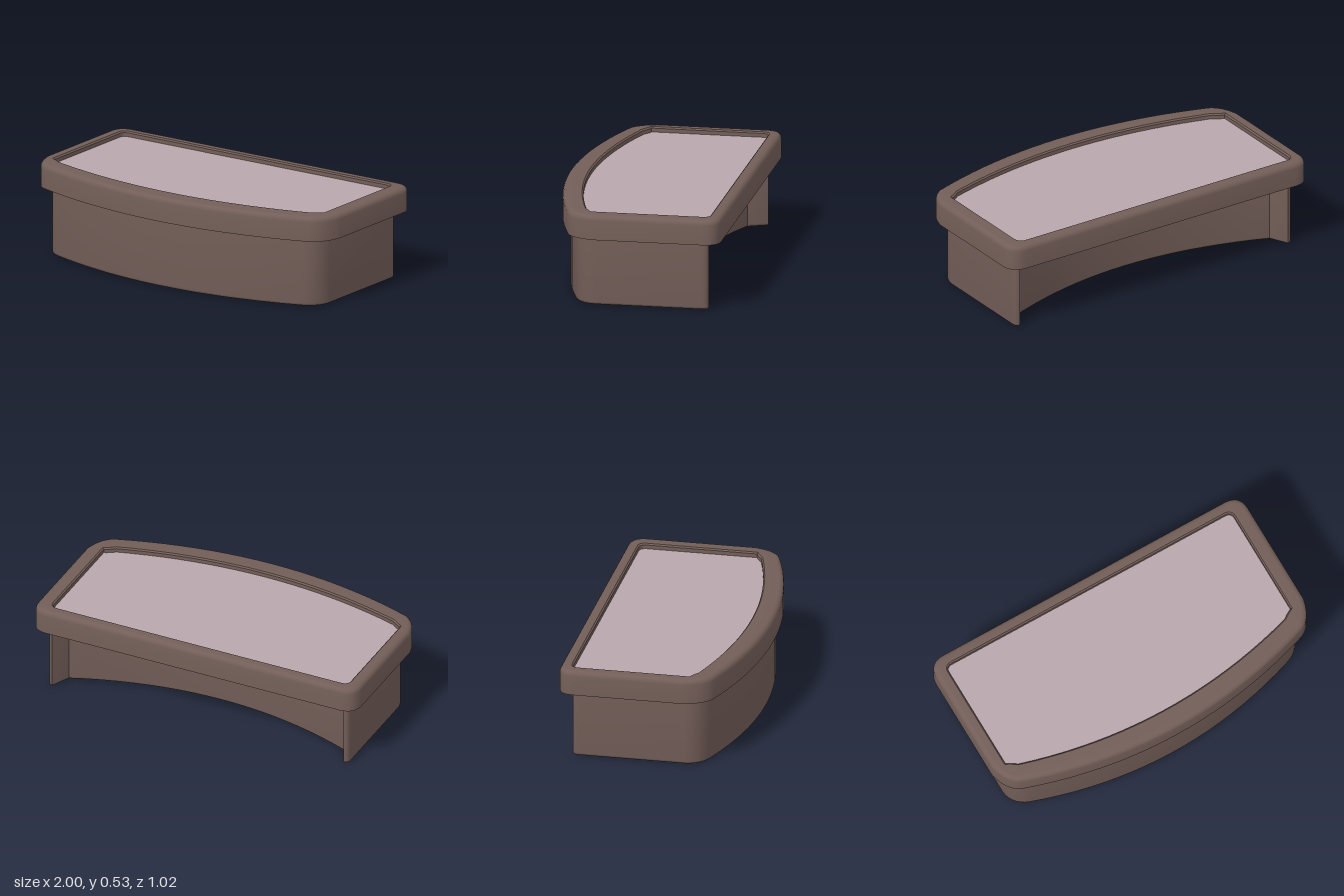
import * as THREE from 'three';
import { toCreasedNormals } from 'three/addons/utils/BufferGeometryUtils.js';

// Plan outlines use (x, -z), counter-clockwise from above.
// Straight back, rounded corners and a bowed front.
function counterOutline(left, right, back, side, corner, mid, rx, rb) {
  const cx = (left + right) / 2;
  const s = new THREE.Shape();
  const f = 2 * mid - corner; // control height that makes the bow reach mid
  s.moveTo(left + rx, -corner);
  s.quadraticCurveTo(cx, -f, right - rx, -corner);
  s.quadraticCurveTo(right - rx * 0.25, -(corner - 0.035), right, -side);
  s.lineTo(right, -back - rb);
  s.quadraticCurveTo(right, -back, right - rb, -back);
  s.lineTo(left + rb, -back);
  s.quadraticCurveTo(left, -back, left, -back - rb);
  s.lineTo(left, -side);
  s.quadraticCurveTo(left + rx * 0.25, -(corner - 0.035), left + rx, -corner);
  return clean(s.getPoints(20));
}

// Bowed front with a concave back between two short end fins.
function bodyOutline() {
  const s = new THREE.Shape();
  s.moveTo(-0.83, -0.325);
  s.quadraticCurveTo(0, -0.615, 0.83, -0.325);
  s.quadraticCurveTo(0.92, -0.29, 0.93, -0.2);
  s.lineTo(0.93, 0.4);
  s.quadraticCurveTo(0.93, 0.44, 0.9, 0.44);
  s.lineTo(0.85, 0.33);
  s.quadraticCurveTo(0, -0.01, -0.85, 0.33);
  s.lineTo(-0.9, 0.44);
  s.quadraticCurveTo(-0.93, 0.44, -0.93, 0.4);
  s.lineTo(-0.93, -0.2);
  s.quadraticCurveTo(-0.92, -0.29, -0.83, -0.325);
  return clean(s.getPoints(20));
}

// Drop the repeated closing point
function clean(pts) {
  if (pts[0].distanceTo(pts[pts.length - 1]) < 1e-5) pts.pop();
  return pts;
}

// Move every point inwards along its outline normal
function inset(pts, d) {
  const n = pts.length;
  return pts.map((p, i) => {
    const t = pts[(i + 1) % n].clone().sub(pts[(i + n - 1) % n]).normalize();
    return new THREE.Vector2(p.x - t.y * d, p.y + t.x * d);
  });
}

// Skin a stack of [outline, y] rings, with optional end caps
function loft(rings, capBottom, capTop) {
  const n = rings[0][0].length, pos = [], idx = [];
  for (const [pts, y] of rings) for (const p of pts) pos.push(p.x, y, -p.y);
  for (let r = 0; r < rings.length - 1; r++) {
    for (let i = 0; i < n; i++) {
      const a = r * n + i, b = r * n + (i + 1) % n;
      idx.push(a, b, b + n, a, b + n, a + n);
    }
  }
  const cap = (r, flip) => {
    for (const [a, b, c] of THREE.ShapeUtils.triangulateShape(rings[r][0], [])) {
      const o = r * n;
      if (flip) idx.push(o + a, o + c, o + b);
      else idx.push(o + a, o + b, o + c);
    }
  };
  if (capBottom) cap(0, true);
  if (capTop) cap(rings.length - 1, false);
  const g = new THREE.BufferGeometry();
  g.setAttribute('position', new THREE.Float32BufferAttribute(pos, 3));
  g.setIndex(idx);
  return toCreasedNormals(g, 0.6);
}

// Quarter-round edge: rings from the wall to the flat, going up or down
function roundEdge(pts, radius, yWall, dir) {
  return [0, 1, 2, 3, 4].map((k) => {
    const a = (k / 4) * Math.PI / 2;
    return [inset(pts, radius * (1 - Math.cos(a))), yWall + dir * radius * Math.sin(a)];
  });
}

export function createModel() {
  const group = new THREE.Group();
  const wood = new THREE.MeshStandardMaterial({ color: 0x735e58 });
  const pale = new THREE.MeshStandardMaterial({ color: 0xb8a6ad });
  const add = (name, geometry, material) => {
    const m = new THREE.Mesh(geometry, material);
    m.name = name;
    group.add(m);
  };

  // Base with softened bottom edge
  const body = bodyOutline();
  add('counterBody', loft([...roundEdge(body, 0.015, 0.015, -1).reverse(), [body, 0.395]], true, false), wood);

  // Overhanging top with a raised rim around the recess
  const outer = counterOutline(-1, 1, -0.51, 0.2, 0.355, 0.51, 0.1, 0.1);
  const inner = counterOutline(-0.925, 0.905, -0.44, 0.225, 0.26, 0.39, 0.06, 0.04);
  add('counterTop', loft([
    [outer, 0.39],
    ...roundEdge(outer, 0.03, 0.5, 1),
    [inset(inner, -0.008), 0.53],
    [inner, 0.522],
    [inner, 0.495],
  ], true, false), wood);

  // Inset work surface
  add('inlayPanel', loft([[inner, 0.5]], false, true), pale);

  return group;
}
